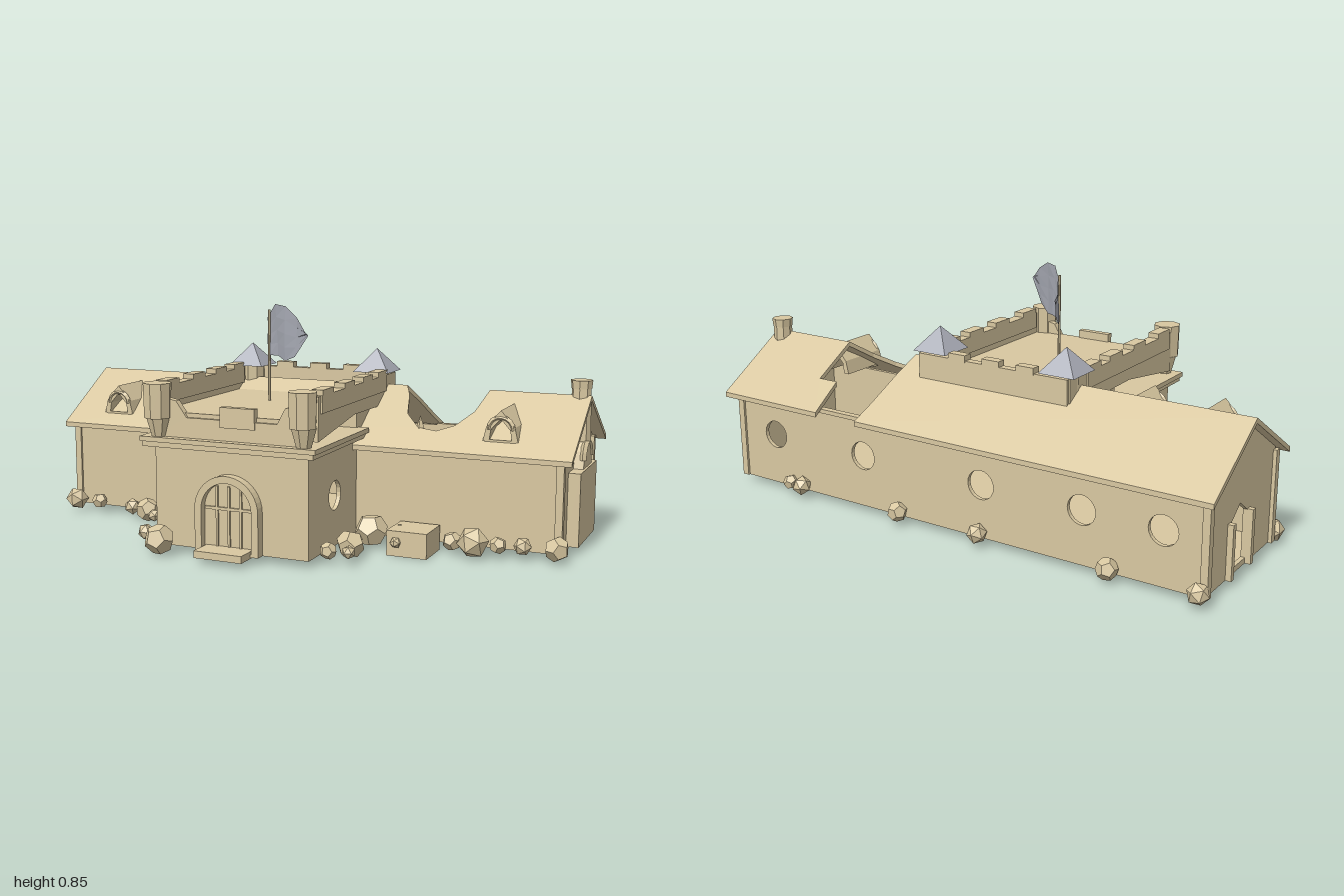
import * as THREE from 'three';

const stone = new THREE.MeshStandardMaterial({ color: 0xd9c8a1, flatShading: true, side: THREE.DoubleSide });
stone.name = 'sandstone';
const slate = new THREE.MeshStandardMaterial({ color: 0xabaeb8, flatShading: true, side: THREE.DoubleSide });
slate.name = 'slateGrey';

export function createModel() {
  const root = new THREE.Group();
  const add = (name, geo, mat = stone, x = 0, y = 0, z = 0) => {
    const m = new THREE.Mesh(geo, mat);
    m.name = name;
    m.position.set(x, y, z);
    root.add(m);
    return m;
  };
  // box given by its min and max corners
  const box = (name, x0, x1, y0, y1, z0, z1) =>
    add(name, new THREE.BoxGeometry(x1 - x0, y1 - y0, z1 - z0), stone, (x0 + x1) / 2, (y0 + y1) / 2, (z0 + z1) / 2);
  const poly = (pts) => new THREE.Shape(pts.map(([a, b]) => new THREE.Vector2(a, b)));
  const circle = (a, b, r) => new THREE.Path().absarc(a, b, r, 0, Math.PI * 2, true);
  const slab = (shape, depth) => new THREE.ExtrudeGeometry(shape, { depth, bevelEnabled: false, curveSegments: 10 });
  // wall facing front: shape in x,y
  const wallXY = (name, shape, z, t) => add(name, slab(shape, t), stone, 0, 0, z);
  // wall facing the side: shape in z,y, reaching from x - t to x
  const wallZY = (name, shape, x, t) => add(name, slab(shape, t).rotateY(-Math.PI / 2), stone, x, 0, 0);

  // Long hall
  const ridgeZ = -0.235, ridgeY = 0.525, pitch = 0.62;
  const roofY = (z) => ridgeY - Math.abs(z - ridgeZ) * pitch;
  box('hallFloor', -0.965, 0.955, 0.03, 0.045, -0.49, 0.02);
  box('hallFrontWallLeft', -0.965, -0.36, 0.03, 0.36, 0.005, 0.02);
  box('hallFrontWallRight', 0.22, 0.955, 0.03, 0.36, 0.005, 0.02);
  const backWall = poly([[-0.965, 0.03], [0.955, 0.03], [0.955, 0.36], [-0.965, 0.36]]);
  [0.79, 0.37, -0.14, -0.53, -0.82].forEach((x) => backWall.holes.push(circle(x, 0.22, 0.052)));
  wallXY('hallBackWall', backWall, -0.49, 0.015);
  const gable = () => poly([[0.02, 0.03], [0.02, 0.366], [ridgeZ, ridgeY], [-0.49, 0.366], [-0.49, 0.03]]);
  wallZY('rightGable', gable(), 0.955, 0.015);
  const leftGable = gable();
  leftGable.holes.push(poly([[-0.32, 0.05], [-0.18, 0.05], [-0.18, 0.21], [-0.25, 0.26], [-0.32, 0.21]]));
  wallZY('leftGable', leftGable, -0.95, 0.015);
  for (const z of [-0.33, -0.18]) box('leftDoorPost', -0.985, -0.95, 0.03, 0.22, z - 0.01, z + 0.01);
  for (const x of [-0.965, 0.955]) for (const z of [-0.485, 0.015]) box('cornerPost', x - 0.013, x + 0.013, 0.03, 0.36, z - 0.013, z + 0.013);

  // Roof: outlines in plan, sheared to the pitch, with the collapsed part left open
  const roof = (name, pts) => {
    const g = slab(poly(pts.map(([x, z]) => [x, -z])), 0.018).rotateX(-Math.PI / 2);
    const p = g.attributes.position;
    for (let i = 0; i < p.count; i++) p.setY(i, p.getY(i) + roofY(p.getZ(i)));
    g.computeVertexNormals();
    add(name, g);
  };
  roof('frontRoof', [[-1, 0.06], [1, 0.06], [1, ridgeZ], [0.635, ridgeZ], [0.61, -0.13], [0.56, -0.06], [0.5, -0.03],
    [0.43, -0.04], [0.37, -0.1], [0.345, -0.19], [0.32, ridgeZ], [-1, ridgeZ]]);
  roof('backRoofMain', [[-1, ridgeZ], [0.32, ridgeZ], [0.338, -0.32], [0.355, -0.45], [0.37, -0.53], [-1, -0.53]]);
  roof('backRoofEnd', [[0.635, ridgeZ], [1, ridgeZ], [1, -0.53], [0.55, -0.53], [0.56, -0.4], [0.64, -0.4]]);
  // splintered rafter at the break
  add('brokenRafter', new THREE.ConeGeometry(0.03, 0.09, 4), stone, 0.435, 0.42, -0.05);
  box('wallPlate', 0.36, 0.58, 0.35, 0.365, -0.5, -0.475);

  // Dormers
  for (const x of [-0.79, -0.53, 0.74]) {
    const hoodShape = poly([[-0.062, 0.4], [-0.05, 0.45], [0, 0.508], [0.05, 0.45], [0.062, 0.4],
      [0.04, 0.4], [0.034, 0.44], [0, 0.478], [-0.034, 0.44], [-0.04, 0.4]]);
    add('dormerHood', slab(hoodShape, 0.2), stone, x, 0, -0.2);
    add('dormerArch', new THREE.TorusGeometry(0.042, 0.01, 4, 8, Math.PI), stone, x, 0.44, -0.005);
    box('dormerSill', x - 0.055, x + 0.055, 0.39, 0.405, -0.05, 0.0);
  }

  // Fireplace and chimney on the right end
  box('fireplace', 0.95, 0.998, 0.03, 0.29, -0.375, -0.1);
  const hood = poly([[-0.32, 0.29], [-0.305, 0.35], [-0.25, 0.4], [-0.195, 0.35], [-0.18, 0.29]]);
  wallZY('fireplaceHood', hood, 0.99, 0.035);
  add('hoodArch', new THREE.TorusGeometry(0.06, 0.012, 4, 8, Math.PI).rotateY(Math.PI / 2), stone, 0.985, 0.32, -0.25);
  add('chimney', new THREE.CylinderGeometry(0.034, 0.038, 0.2, 8), stone, 0.96, 0.48, -0.25);
  add('chimneyRim', new THREE.CylinderGeometry(0.039, 0.036, 0.03, 8), stone, 0.96, 0.58, -0.25);

  // Tower body
  box('towerFloor', -0.35, 0.21, 0.04, 0.05, 0.015, 0.43);
  box('towerFrontWall', -0.36, 0.22, 0.03, 0.39, 0.425, 0.44);
  for (const x of [-0.345, 0.22]) {
    const side = poly([[0.01, 0.03], [0.44, 0.03], [0.44, 0.39], [0.01, 0.39]]);
    side.holes.push(circle(0.218, 0.21, 0.052));
    wallZY('towerSideWall', side, x, 0.015);
  }
  box('cornice', -0.4, 0.26, 0.398, 0.415, 0.0, 0.48);
  box('corniceMoulding', -0.39, 0.25, 0.38, 0.398, 0.0, 0.475);

  // Tower top: rear block, deck and parapets
  box('rearBlock', -0.36, 0.22, 0.38, 0.5, -0.3, 0.02);
  box('deck', -0.37, 0.23, 0.482, 0.5, -0.31, 0.44);
  for (const x of [-0.345, 0.245]) {
    wallZY('sideParapet', poly([[0.42, 0.43], [0.42, 0.58], [-0.31, 0.58], [-0.31, 0.47], [0.1, 0.477]]), x, 0.03);
    box('parapetLedge', x - 0.036, x + 0.006, 0.522, 0.582, -0.2, 0.4);
    for (const z of [0.35, 0.16, -0.01, -0.16]) box('merlon', x - 0.036, x + 0.006, 0.58, 0.6, z - 0.045, z + 0.045);
  }
  box('backParapet', -0.37, 0.24, 0.47, 0.58, -0.32, -0.29);
  for (const x of [-0.205, -0.065, 0.075]) box('backMerlon', x - 0.035, x + 0.035, 0.575, 0.6, -0.322, -0.288);
  wallXY('frontParapet', poly([[-0.36, 0.41], [0.22, 0.41], [0.22, 0.56], [0.14, 0.54], [0.11, 0.485],
    [-0.23, 0.485], [-0.27, 0.54], [-0.36, 0.56]]), 0.425, 0.025);
  box('frontMerlon', -0.1, 0.03, 0.46, 0.53, 0.43, 0.456);

  // Corner turrets, the rear pair with pointed caps
  for (const x of [-0.34, 0.205]) {
    add('frontTurret', new THREE.CylinderGeometry(0.05, 0.047, 0.12, 8), stone, x, 0.54, 0.455);
    add('turretFoot', new THREE.CylinderGeometry(0.046, 0.026, 0.07, 8), stone, x, 0.447, 0.445);
  }
  for (const x of [-0.33, 0.19]) {
    add('rearTurret', new THREE.CylinderGeometry(0.048, 0.043, 0.2, 8), stone, x, 0.495, -0.258);
    add('turretCap', new THREE.ConeGeometry(0.098, 0.085, 4).rotateY(Math.PI / 4), slate, x, 0.63, -0.258);
  }

  // Arched double door and step
  const dx = -0.07;
  const arch = (r, y0) => new THREE.Shape().moveTo(-r, y0).lineTo(r, y0).lineTo(r, 0.18).absarc(0, 0.18, r, 0, Math.PI, false).lineTo(-r, y0);
  const frame = arch(0.12, 0.03);
  frame.holes.push(arch(0.095, 0.04));
  add('doorFrame', slab(frame, 0.037), stone, dx, 0, 0.438);
  add('doorLeaf', slab(arch(0.097, 0.035), 0.01), stone, dx, 0, 0.438);
  for (const x of [-0.045, 0, 0.045]) box('doorBoard', dx + x - 0.004, dx + x + 0.004, 0.04, 0.26, 0.445, 0.455);
  box('doorBar', dx - 0.09, dx + 0.09, 0.177, 0.187, 0.445, 0.455);
  box('doorStep', dx - 0.09, dx + 0.09, 0.025, 0.05, 0.44, 0.54);

  // Flag: top and bottom outlines in z,y, folded at the pole and rippled
  add('flagPole', new THREE.CylinderGeometry(0.005, 0.005, 0.34, 6), stone, -0.105, 0.66, 0.06);
  const top = [[-0.07, 0.77], [-0.04, 0.79], [-0.01, 0.82], [0.06, 0.82], [0.1, 0.853], [0.15, 0.85], [0.2, 0.815], [0.255, 0.77]];
  const low = [0.765, 0.71, 0.668, 0.665, 0.67, 0.658, 0.68, 0.76];
  const verts = [], idx = [];
  const rows = 4;
  top.forEach(([z, y1], i) => {
    for (let j = 0; j <= rows; j++) {
      const x = -0.105 + (z - 0.06) * (z < 0.06 ? 0.5 : 1.2) + 0.006 * Math.sin(i * 2 + j * 0.6);
      verts.push(x, low[i] + (y1 - low[i]) * j / rows, z);
      if (i && j) {
        const a = i * (rows + 1) + j, b = a - rows - 1;
        idx.push(b - 1, a, a - 1, b - 1, b, a);
      }
    }
  });
  const cloth = new THREE.BufferGeometry();
  cloth.setAttribute('position', new THREE.Float32BufferAttribute(verts, 3));
  cloth.setIndex(idx);
  cloth.computeVertexNormals();
  add('flag', cloth, slate);

  // Crate and boulders along the walls: x, z, radius
  box('crate', 0.395, 0.54, 0.005, 0.094, 0.03, 0.175);
  add('crateKnob', new THREE.IcosahedronGeometry(0.02, 0), stone, 0.43, 0.055, 0.18);
  const rocks = [[-0.955, 0.06, 0.044], [-0.85, 0.06, 0.03], [-0.68, 0.09, 0.032], [-0.6, 0.11, 0.045], [-0.5, 0.1, 0.055],
    [-0.42, 0.09, 0.04], [-0.53, 0.18, 0.025], [-0.4, 0.14, 0.03], [-0.43, 0.4, 0.03], [-0.32, 0.495, 0.054], [-0.37, 0.43, 0.04],
    [0.31, 0.1, 0.06], [0.29, 0.19, 0.022], [0.3, 0.27, 0.05], [0.33, 0.36, 0.024], [0.26, 0.37, 0.03], [0.41, 0.08, 0.045],
    [0.6, 0.08, 0.034], [0.68, 0.1, 0.056], [0.76, 0.07, 0.03], [0.84, 0.05, 0.032], [0.955, 0.04, 0.044],
    [-0.955, -0.515, 0.038], [-0.64, -0.515, 0.038], [-0.14, -0.515, 0.036], [0.2, -0.515, 0.036], [0.65, -0.515, 0.036], [0.71, -0.51, 0.028]];
  rocks.forEach(([x, z, r], i) => {
    const g = i % 2 ? new THREE.DodecahedronGeometry(r, 0) : new THREE.IcosahedronGeometry(r, 0);
    add('boulder', g.rotateY(i * 1.7).rotateX(i * 0.9), stone, x, Math.max(0.055, r + 0.008), z);
  });
  return root;
}
